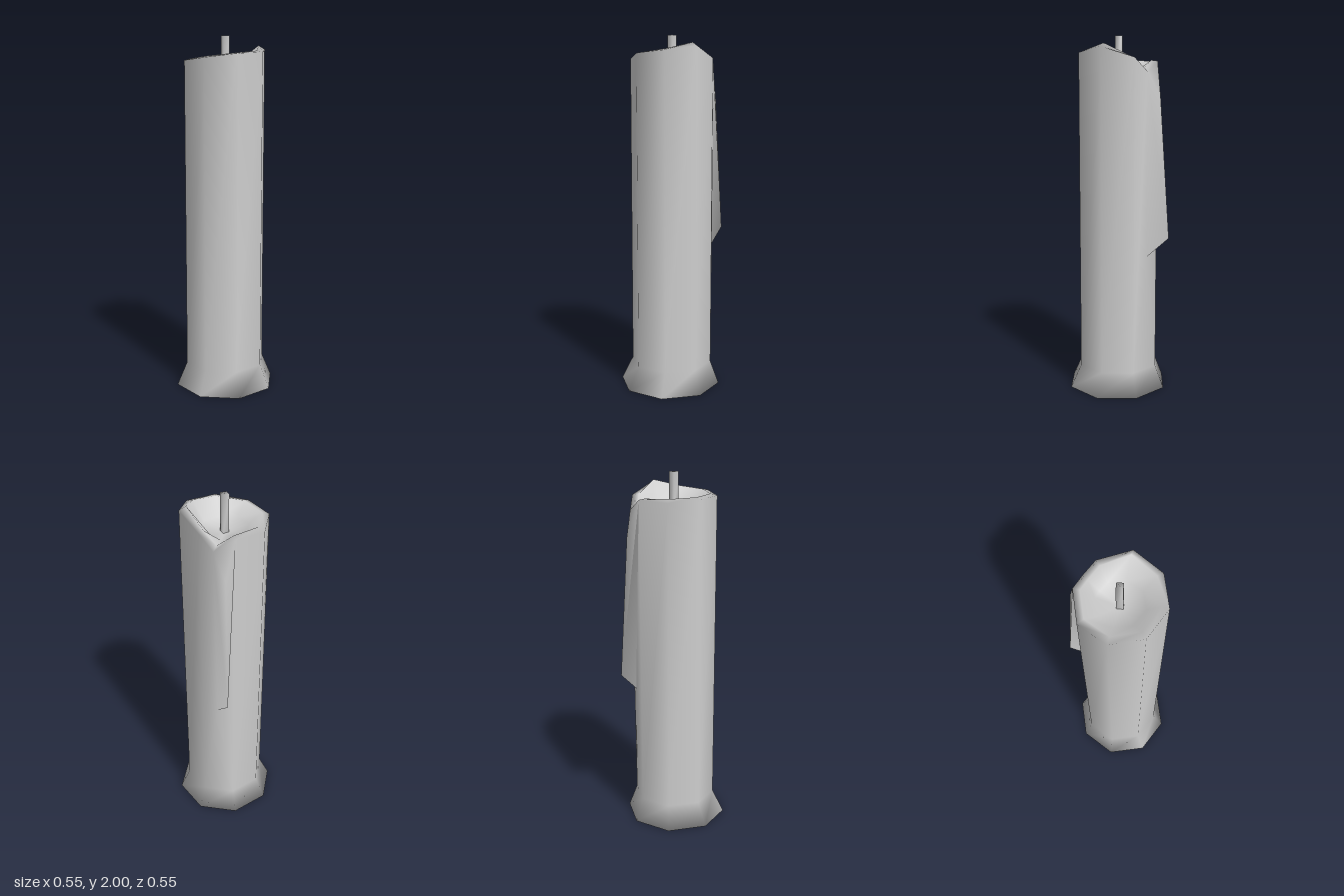
import * as THREE from 'three';

const wax = new THREE.MeshStandardMaterial({ color: 0xcccccc });
wax.name = 'pale grey';

// Octagon of points, slightly turned; heights may be one value or one per corner
function ring(radius, heights, cx = 0, cz = 0) {
  return Array.from({ length: 8 }, (_, k) => {
    const a = THREE.MathUtils.degToRad(25.6 + 45 * k);
    const y = Array.isArray(heights) ? heights[k] : heights;
    return [cx + radius * Math.cos(a), y, cz + radius * Math.sin(a)];
  });
}

function candleGeometry() {
  const points = [], index = [];
  const add = (p) => points.push(p) - 1;
  const addRing = (r) => r.map(add);
  const tri = (a, b, c) => index.push(a, b, c);
  // Join two loops; skip leaves one side open
  const join = (low, high, skip = -1) => low.forEach((a, i) => {
    if (i === skip) return;
    const j = (i + 1) % low.length;
    tri(low[j], a, high[i]);
    tri(low[j], high[i], high[j]);
  });

  // Flared foot, straight body and uneven rim
  const foot = addRing(ring(0.289, 0));
  const ankle = addRing(ring(0.232, 0.13, -0.005, -0.006));
  const rim = addRing(ring(0.232, [1.895, 1.875, 1.865, 1.85, 1.86, 1.875, 1.93, 1.905], -0.005, -0.006));
  const lip = addRing(ring(0.195, [1.9, 1.885, 1.875, 1.868, 1.865, 1.88, 1.95, 1.915], -0.005, -0.006));
  const pool = addRing(ring(0.125, 1.82, -0.005, -0.006));
  join(foot, ankle);
  join(ankle, rim, 4);
  for (let k = 1; k < 7; k++) tri(foot[0], foot[k], foot[k + 1]);

  // Wax drip running out of a notch in the rim
  const notch = add([-0.155, 1.8, -0.196]);
  const shoulder = add([-0.226, 1.66, -0.177]);
  const tip = add([-0.275, 0.9, -0.2]);
  const under = add([-0.155, 0.79, -0.176]);
  const [lb, rb, lt, rt] = [ankle[4], ankle[5], rim[4], rim[5]];
  tri(rb, lb, under);
  tri(rb, under, notch);
  tri(rb, notch, rt);
  tri(under, lb, lt);
  tri(under, lt, tip);
  tri(tip, lt, shoulder);
  tri(shoulder, lt, notch);
  tri(notch, under, tip);
  tri(notch, tip, shoulder);

  // Rounded lip and hollow around the wick
  const withNotch = (r, extra) => [...r.slice(0, 5), extra, ...r.slice(5)];
  const lipNotch = add([-0.135, 1.815, -0.16]);
  const poolNotch = add([-0.088, 1.805, -0.098]);
  const hollow = withNotch(pool, poolNotch);
  join(withNotch(rim, notch), withNotch(lip, lipNotch));
  join(withNotch(lip, lipNotch), hollow);
  const middle = add([-0.007, 1.79, -0.009]);
  hollow.forEach((a, i) => tri(hollow[(i + 1) % hollow.length], a, middle));

  const g = new THREE.BufferGeometry();
  g.setAttribute('position', new THREE.Float32BufferAttribute(points.flat(), 3));
  g.setIndex(index);
  g.computeVertexNormals();
  return g;
}

// Square wick with soft shading over its corners
function wickGeometry() {
  const points = [], index = [];
  for (const y of [1.77, 2]) {
    for (let k = 0; k < 4; k++) {
      const a = THREE.MathUtils.degToRad(61 + 90 * k);
      points.push(-0.007 + 0.025 * Math.cos(a), y, -0.009 + 0.025 * Math.sin(a));
    }
  }
  for (let k = 0; k < 4; k++) {
    const j = (k + 1) % 4;
    index.push(j, k, k + 4, j, k + 4, j + 4);
  }
  index.push(4, 6, 5, 4, 7, 6);
  const g = new THREE.BufferGeometry();
  g.setAttribute('position', new THREE.Float32BufferAttribute(points, 3));
  g.setIndex(index);
  g.computeVertexNormals();
  return g;
}

export function createModel() {
  const group = new THREE.Group();
  group.name = 'candle';
  const body = new THREE.Mesh(candleGeometry(), wax);
  body.name = 'waxBody';
  const wick = new THREE.Mesh(wickGeometry(), wax);
  wick.name = 'wick';
  group.add(body, wick);
  return group;
}
